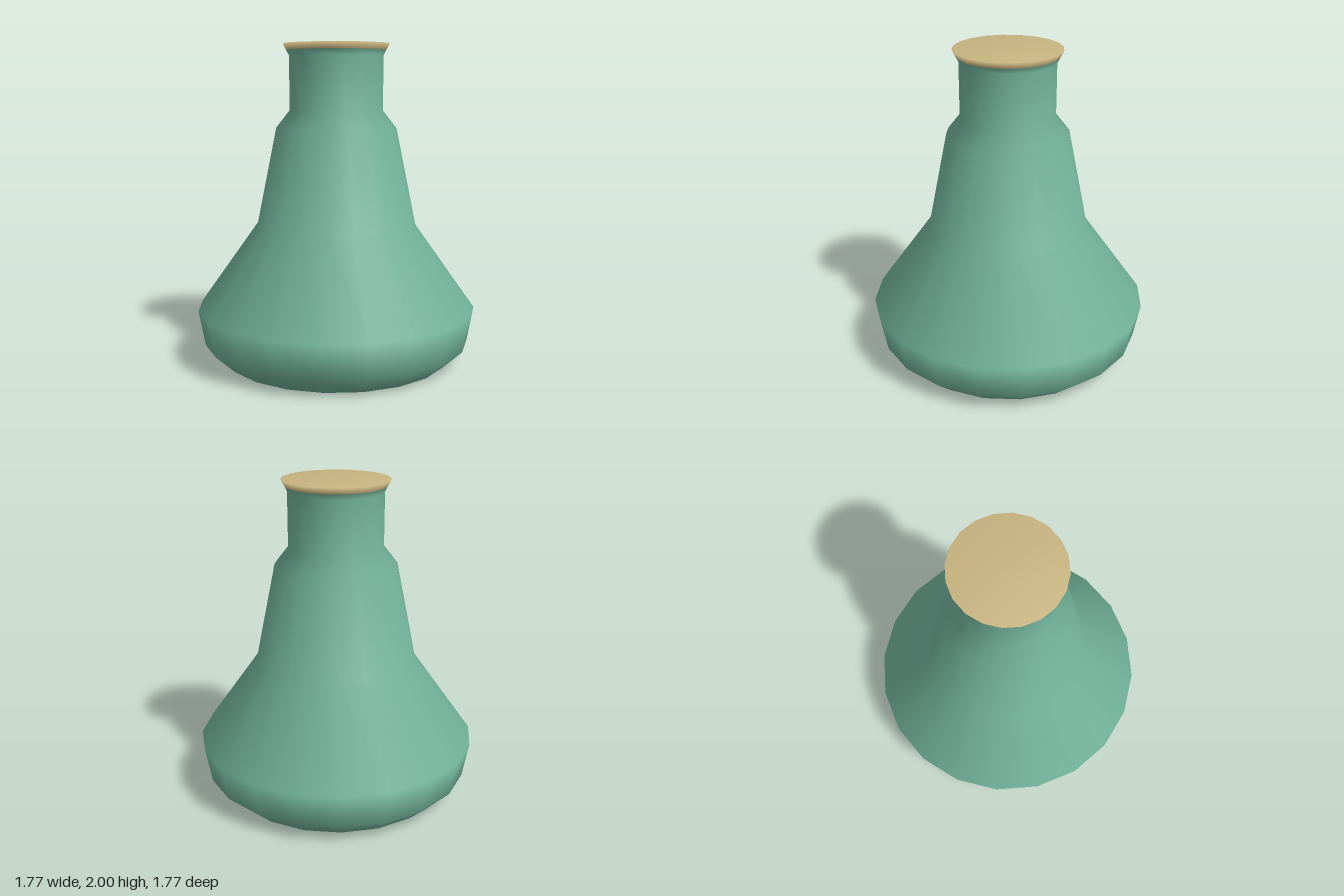
import * as THREE from 'three';

const SIDES = 20;

// Turns a [radius, height] profile, listed bottom to top, into a named mesh
function turned(name, profile, material) {
  const points = profile.map(([r, y]) => new THREE.Vector2(r, y));
  const mesh = new THREE.Mesh(new THREE.LatheGeometry(points, SIDES), material);
  mesh.name = name;
  return mesh;
}

export function createModel() {
  const glass = new THREE.MeshStandardMaterial({ color: 0x72b39b });
  glass.name = 'green glass';
  const cork = new THREE.MeshStandardMaterial({ color: 0xc8b480 });
  cork.name = 'tan cork';

  const flask = new THREE.Group();
  flask.name = 'flask';

  // Closed base, wide belly, tapering shoulder, straight neck and start of the lip
  flask.add(turned('bottle', [
    [0, 0], [0.72, 0], [0.845, 0.115], [0.885, 0.335],
    [0.507, 0.865], [0.382, 1.475], [0.296, 1.585],
    [0.296, 1.925], [0.314, 1.96],
  ], glass));

  // Flared stopper with a flat top
  flask.add(turned('stopper', [[0.314, 1.96], [0.335, 2], [0, 2]], cork));

  return flask;
}
